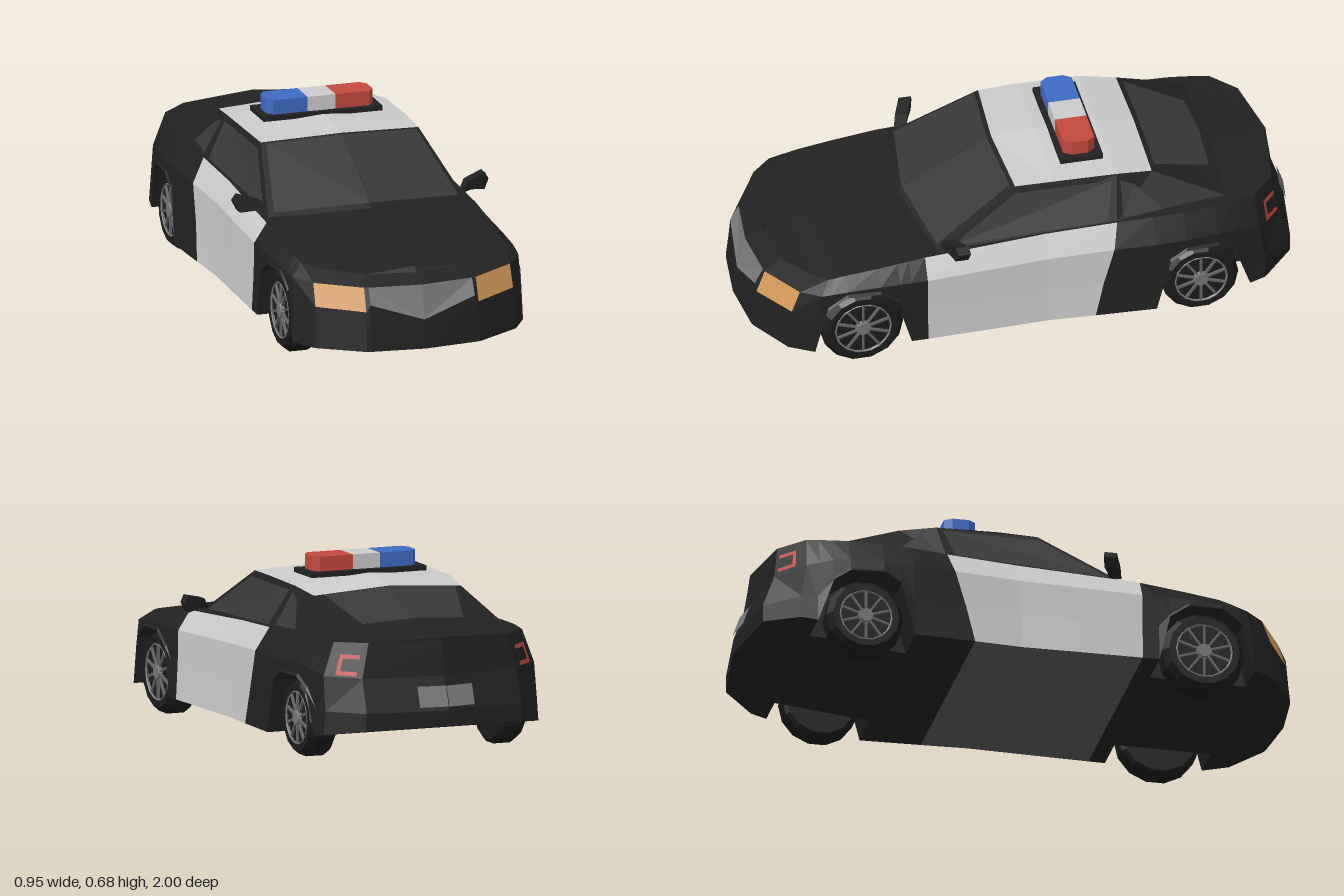
import * as THREE from 'three';

const COLORS = {
  body: 0x222222, doors: 0xcccccc, roof: 0xcccccc, floor: 0x5a5a5a, grille: 0x7a7a7a,
  headlights: 0xd69a5c, glass: 0x383838, tailLights: 0xc4493f, rearPlate: 0x777777,
};
const mat = (color) => new THREE.MeshStandardMaterial({ color, flatShading: true });
const clamp01 = (v) => Math.min(1, Math.max(0, v));

// value at z on a curve of [z, value] points running from front to rear
function curve(points, z) {
  for (let i = 1; i < points.length; i++) {
    const [z0, a] = points[i - 1], [z1, b] = points[i];
    if (z >= z1) return a + (b - a) * clamp01((z0 - z) / (z0 - z1));
  }
  return points[points.length - 1][1];
}

// triangles gathered per part; each quad is also mirrored to the other side
const newShell = () => {
  const parts = {};
  const quad = (name, a, b, c, d) => {
    const out = (parts[name] ??= []);
    const m = ([x, y, z]) => [-x, y, z];
    for (const p of [a, b, c, a, c, d]) out.push(...p);
    for (const p of [c, b, a, d, c, a].map(m)) out.push(...p);
  };
  return { parts, quad };
};

// a quad laid just above the surface abcd, its corners given as [u, v]
function inlay(quad, name, [a, b, c, d], uvs, lift = 0.008) {
  const V = (p) => new THREE.Vector3(...p);
  const n = V(c).sub(V(a)).cross(V(d).sub(V(b))).normalize();
  const pts = uvs.map(([u, v]) => V(a).lerp(V(b), u).lerp(V(d).lerp(V(c), u), v).addScaledVector(n, lift).toArray());
  quad(name, ...pts);
}
const rect = (u0, u1, v0, v1) => [[u0, v0], [u1, v0], [u1, v1], [u0, v1]];

// plan outline of one side, [x, z] from front centre to rear centre
const PLAN = [
  [0, 0.985], [0.195, 0.965], [0.21, 0.962], [0.37, 0.87], [0.425, 0.79], [0.43, 0.75],
  [0.435, 0.68], [0.44, 0.56], [0.44, 0.49], [0.44, 0.45], [0.44, 0.39], [0.435, 0.15],
  [0.43, -0.05], [0.44, -0.28], [0.45, -0.44], [0.45, -0.49], [0.45, -0.55], [0.44, -0.67],
  [0.43, -0.73], [0.42, -0.78], [0.41, -0.83], [0.3, -0.93], [0, -0.97],
];
const FLOOR_Y = [[1, 0.076], [0.79, 0.085], [-0.44, 0.09], [-0.78, 0.125], [-0.97, 0.165]];
const BELT_Y = [[1, 0.3], [0.87, 0.31], [0.62, 0.335], [0.39, 0.335], [-0.28, 0.36], [-0.7, 0.37], [-0.85, 0.34], [-1, 0.34]];
const SHOULDER_Y = [[0.985, 0.33], [0.79, 0.355], [0.39, 0.405], [-0.28, 0.445], [-0.6, 0.46], [-0.97, 0.465]];
const DECK_Y = [[0.985, 0.345], [0.79, 0.375], [0.39, 0.42], [-0.28, 0.45], [-0.7, 0.49], [-0.97, 0.475]];
const NOSE_LOWER = [0.18, 0.245, 0.22, 0.23];
const WHEELS = [{ z: 0.62, y: 0.15, r: 0.15 }, { z: -0.61, y: 0.165, r: 0.14 }];

// one column of the body, from floor centre up to deck centre
function column([x, z], j) {
  const floorY = curve(FLOOR_Y, z), inner = Math.min(x, 0.29);
  let sillY = floorY;
  for (const w of WHEELS) {
    const d = Math.abs(z - w.z);
    if (d < 0.15) sillY = w.y + Math.sqrt(0.17 ** 2 - d * d); // wheel arch
  }
  const nose = clamp01((z - 0.68) / 0.19), tail = clamp01((-z - 0.74) / 0.19);
  const slant = j === 13 ? [0.06, 0.03, -0.01, -0.03] : [0, 0, 0, 0]; // rear door edge
  const zs = [
    z + 0.015 * nose - 0.03 * tail, z - 0.03 * tail,
    z - 0.03 * nose + 0.012 * tail, z - 0.09 * nose + 0.03 * tail,
  ].map((v, i) => v + slant[i]);
  const midY = NOSE_LOWER[j] ?? Math.max(0.22, sillY + 0.01);
  return [
    [0, floorY, zs[0]], [inner, floorY, zs[0]], [inner, sillY, zs[0]], [x * 1.015, sillY, zs[0]],
    [x, midY, zs[1]], [x * 0.995, curve(BELT_Y, z), zs[2]],
    [x * 0.89, curve(SHOULDER_Y, z), zs[3]], [0, curve(DECK_Y, z), zs[3]],
  ];
}

function buildBody(quad) {
  const cols = PLAN.map(column);
  const cell = (r, j) => [cols[j][r], cols[j + 1][r], cols[j + 1][r + 1], cols[j][r + 1]];
  for (let j = 0; j < cols.length - 1; j++) {
    for (let r = 0; r < 7; r++) {
      const between = j >= 10 && j <= 12;
      let name = 'body';
      if (between && r < 3) name = 'floor';
      else if (between && r < 6) name = 'doors';
      else if (r === 4 && j === 0) name = 'grille';
      else if (r === 4 && j === 2) name = 'headlights';
      quad(name, ...cell(r, j));
    }
  }
  // bracket-shaped tail lights and rear plate
  for (const uv of [rect(0.3, 0.4, 0.05, 0.65), rect(0.4, 0.85, 0.05, 0.17), rect(0.4, 0.85, 0.53, 0.65)])
    inlay(quad, 'tailLights', cell(5, 20), uv);
  inlay(quad, 'rearPlate', cell(4, 21), rect(0.65, 1, 0.1, 0.7));
}

function buildCabin(quad) {
  const cowl = [0, 0.425, 0.4], pillarA = [0.37, 0.405, 0.345];
  const pillarB = [0.385, 0.44, -0.31], pillarC = [0.35, 0.455, -0.74], deck = [0, 0.485, -0.74];
  const edge = [[0.295, 0.592, 0.04], [0.3, 0.594, -0.1], [0.3, 0.59, -0.33], [0.285, 0.572, -0.46]];
  const ridge = [[0, 0.605, 0.06], [0, 0.617, -0.1], [0, 0.614, -0.32], [0, 0.59, -0.46]];
  const windshield = [cowl, pillarA, edge[0], ridge[0]];
  const side = [pillarA, pillarB, edge[2], edge[0]];
  const quarter = [pillarB, pillarC, edge[3], edge[2]];
  const rear = [pillarC, deck, ridge[3], edge[3]];
  for (const face of [windshield, side, quarter, rear]) quad('body', ...face);
  quad('body', edge[0], edge[2], edge[1], edge[1]);
  for (let i = 0; i < 3; i++) quad('roof', ridge[i], edge[i], edge[i + 1], ridge[i + 1]);
  inlay(quad, 'glass', windshield, rect(0, 0.94, 0.05, 0.96));
  inlay(quad, 'glass', side, [[0.06, 0.08], [0.95, 0.06], [0.95, 0.88], [0.08, 0.88]], 0.004);
  inlay(quad, 'glass', quarter, [[0.06, 0.08], [0.42, 0.08], [0.3, 0.75], [0.06, 0.85]], 0.004);
  inlay(quad, 'glass', rear, [[0.42, 0.2], [1, 0.16], [1, 0.95], [0.12, 0.95]]);
}

function mesh(name, geometry, color, position = [0, 0, 0]) {
  const m = new THREE.Mesh(geometry, mat(color));
  m.name = name;
  m.position.set(...position);
  return m;
}
const polygon = (pts) => new THREE.Shape(pts.map(([x, y]) => new THREE.Vector2(x, y)));

// wheel with its outer face along local +x
function buildWheel(r, name) {
  const g = new THREE.Group();
  g.name = name;
  const profile = [[0, -0.052], [r * 0.9, -0.052], [r, -0.04], [r, 0.025], [r * 0.86, 0.05], [r * 0.7, 0.05], [r * 0.67, 0.04], [0, 0.04]];
  const tyre = new THREE.LatheGeometry(profile.map(([a, b]) => new THREE.Vector2(a, b)), 14);
  g.add(mesh('tyre', tyre.rotateZ(-Math.PI / 2), 0x1c1c1c));
  g.add(mesh('rimRing', new THREE.TorusGeometry(r * 0.67, 0.004, 4, 20).rotateY(Math.PI / 2), 0x777777, [0.047, 0, 0]));
  g.add(mesh('hub', new THREE.CylinderGeometry(0.025, 0.03, 0.016, 10).rotateZ(-Math.PI / 2), 0x777777, [0.046, 0, 0]));
  for (let i = 0; i < 10; i++) {
    const spoke = new THREE.BoxGeometry(0.01, r * 0.5, 0.008).translate(0.044, r * 0.42, 0);
    g.add(mesh('spoke', spoke.rotateX((i / 10) * Math.PI * 2), 0x666666));
  }
  return g;
}

function buildLightBar() {
  const g = new THREE.Group();
  g.name = 'lightBar';
  g.add(mesh('lightBarBase', new THREE.BoxGeometry(0.445, 0.018, 0.155), 0x222222, [0, 0.617, -0.22]));
  g.add(mesh('lightBarCentre', new THREE.BoxGeometry(0.105, 0.054, 0.115), 0xcccccc, [0, 0.652, -0.218]));
  for (const [s, name, color] of [[1, 'redLight', 0xc4493f], [-1, 'blueLight', 0x3f6ac4]]) {
    const outline = [[0.052, -0.057], [0.18, -0.057], [0.2, -0.03], [0.2, 0.03], [0.18, 0.057], [0.052, 0.057]];
    const geo = new THREE.ExtrudeGeometry(polygon(outline.map(([x, y]) => [s * x, y])), { depth: 0.054, bevelEnabled: false });
    g.add(mesh(name, geo.rotateX(-Math.PI / 2), color, [0, 0.625, -0.218]));
  }
  return g;
}

// door mirror, swept back toward its tip
function buildMirror(s) {
  const outline = [[0.365, 0.425], [0.385, 0.462], [0.46, 0.48], [0.475, 0.455], [0.458, 0.42], [0.4, 0.43]];
  const geo = new THREE.ExtrudeGeometry(polygon(outline.map(([x, y]) => [s * x, y])), { depth: 0.045, bevelEnabled: false });
  const p = geo.attributes.position;
  for (let i = 0; i < p.count; i++) p.setZ(i, p.getZ(i) + 0.285 - (Math.abs(p.getX(i)) - 0.365) * 0.4);
  geo.computeVertexNormals();
  return mesh(s > 0 ? 'leftMirror' : 'rightMirror', geo, 0x222222);
}

export function createModel() {
  const car = new THREE.Group();
  car.name = 'patrolCar';
  const { parts, quad } = newShell();
  buildBody(quad);
  buildCabin(quad);
  for (const [name, positions] of Object.entries(parts)) {
    const geo = new THREE.BufferGeometry();
    geo.setAttribute('position', new THREE.Float32BufferAttribute(positions, 3));
    geo.computeVertexNormals();
    car.add(mesh(name, geo, COLORS[name]));
  }
  WHEELS.forEach((w, i) => {
    for (const s of [1, -1]) {
      const wheel = buildWheel(w.r, `${i ? 'rear' : 'front'}${s > 0 ? 'Left' : 'Right'}Wheel`);
      wheel.position.set(s * 0.37, w.y, w.z);
      if (s < 0) wheel.rotation.y = Math.PI;
      car.add(wheel);
    }
  });
  car.add(buildLightBar(), buildMirror(1), buildMirror(-1));
  return car;
}
